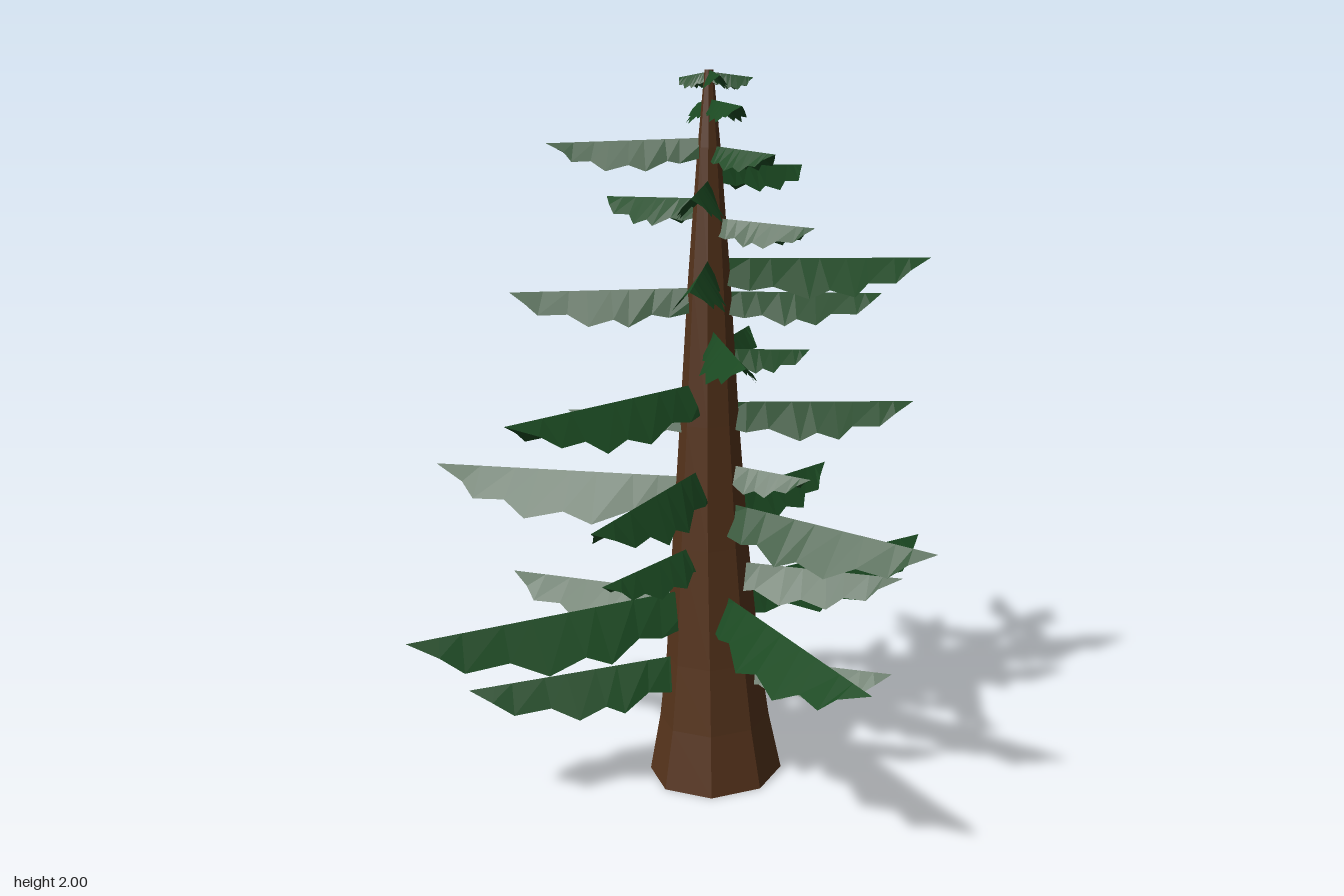
import * as THREE from 'three';

const bark = new THREE.MeshStandardMaterial({ color: 0x55331b, flatShading: true });
const needles = new THREE.MeshStandardMaterial({ color: 0x1b4a22, flatShading: true, side: THREE.DoubleSide });

const AXIS_Z = -0.045; // the trunk leans back slightly

// Branch tips: x, height, z
const TIPS = [
  [-0.65, 0.35, -0.32], [0.29, 0.34, 0.40], [0.47, 0.42, -0.60],
  [-0.85, 0.55, -0.30], [0.84, 0.55, 0.05], [-0.22, 0.55, 0.75], [-0.26, 0.52, -0.64],
  [0.38, 0.62, -0.38], [0.30, 0.63, 0.42], [-0.45, 0.69, 0.02],
  [0.11, 0.81, 0.68], [0.57, 0.81, -0.12], [-0.44, 0.87, -0.76], [-0.61, 0.91, 0.18],
  [0.10, 0.92, 0.25], [0.30, 0.99, -0.32],
  [-0.25, 1.07, -0.36], [0.47, 1.09, 0.30], [-0.69, 1.15, -0.05],
  [0.41, 1.24, -0.30], [0.25, 1.24, 0.10], [-0.28, 1.30, 0.38],
  [-0.39, 1.41, -0.43], [0.39, 1.40, 0.24], [-0.40, 1.49, 0.31], [0.54, 1.49, 0.29],
  [0.10, 1.60, 0.25], [-0.03, 1.65, -0.44], [-0.34, 1.70, 0.25], [0.37, 1.74, -0.05],
  [0.00, 1.79, 0.20], [-0.31, 1.81, -0.35],
  [0.18, 1.91, -0.28], [-0.07, 1.91, 0.15],
  [-0.08, 1.995, 0.08], [0.09, 1.98, 0.03], [-0.02, 1.98, -0.14],
];

// Stations along a bough: distance, half width, droop (teeth alternate with notches)
const STATIONS = [
  [0.00, 0.25, 0.60], [0.18, 0.55, 0.80], [0.27, 0.55, 0.70], [0.40, 0.95, 1.00],
  [0.49, 0.80, 0.78], [0.61, 1.00, 0.95], [0.70, 0.65, 0.62], [0.83, 0.72, 0.62],
  [0.90, 0.42, 0.30], [1.00, 0.00, 0.00],
];

// Tent-shaped bough: a ridge with two drooping, serrated flanks
function boughGeometry(length, seed) {
  const width = 0.02 + 0.09 * length;
  const droop = 0.025 + 0.125 * length;
  const pos = [], index = [];
  STATIONS.forEach(([t, w, d], i) => {
    const x = t * length;
    const ridge = 0.015 * (1 - t);
    const shift = i > 0 && t < 1 ? 0.02 * length * Math.sin(seed * 2.3 + i) : 0;
    pos.push(x + shift, ridge - d * droop, -w * width);
    pos.push(x, ridge, 0);
    pos.push(x - shift, ridge - d * droop, w * width);
    if (i > 0) {
      const a = 3 * (i - 1), b = 3 * i;
      for (const k of [0, 1]) {
        index.push(a + k, a + k + 1, b + k, b + k, a + k + 1, b + k + 1);
      }
    }
  });
  const g = new THREE.BufferGeometry();
  g.setAttribute('position', new THREE.Float32BufferAttribute(pos, 3));
  g.setIndex(index);
  g.computeVertexNormals();
  return g;
}

export function createModel() {
  const tree = new THREE.Group();
  tree.name = 'coniferTree';

  // Flared, tapering eight-sided trunk
  const profile = [
    [0, 0], [0.2, 0], [0.165, 0.17], [0.14, 0.36], [0.112, 0.7],
    [0.086, 1.05], [0.06, 1.45], [0.032, 1.8], [0.012, 2], [0, 2],
  ].map(([r, y]) => new THREE.Vector2(r, y));
  const trunkGeometry = new THREE.LatheGeometry(profile, 8);
  const p = trunkGeometry.attributes.position;
  for (let i = 0; i < p.count; i++) {
    const y = p.getY(i);
    p.setZ(i, p.getZ(i) * 0.92 - 0.02 + (AXIS_Z + 0.02) * Math.min(1, y / 0.8));
  }
  trunkGeometry.computeVertexNormals();
  const trunk = new THREE.Mesh(trunkGeometry, bark);
  trunk.name = 'trunk';
  tree.add(trunk);

  // Boughs radiate from the trunk axis
  const boughs = new THREE.Group();
  boughs.name = 'boughs';
  TIPS.forEach(([x, y, z], i) => {
    const dz = z - AXIS_Z;
    const bough = new THREE.Mesh(boughGeometry(Math.hypot(x, dz), i), needles);
    bough.name = `bough${i + 1}`;
    bough.position.set(0, Math.min(y, 1.985), AXIS_Z);
    bough.rotation.y = Math.atan2(-dz, x);
    boughs.add(bough);
  });
  tree.add(boughs);
  return tree;
}
